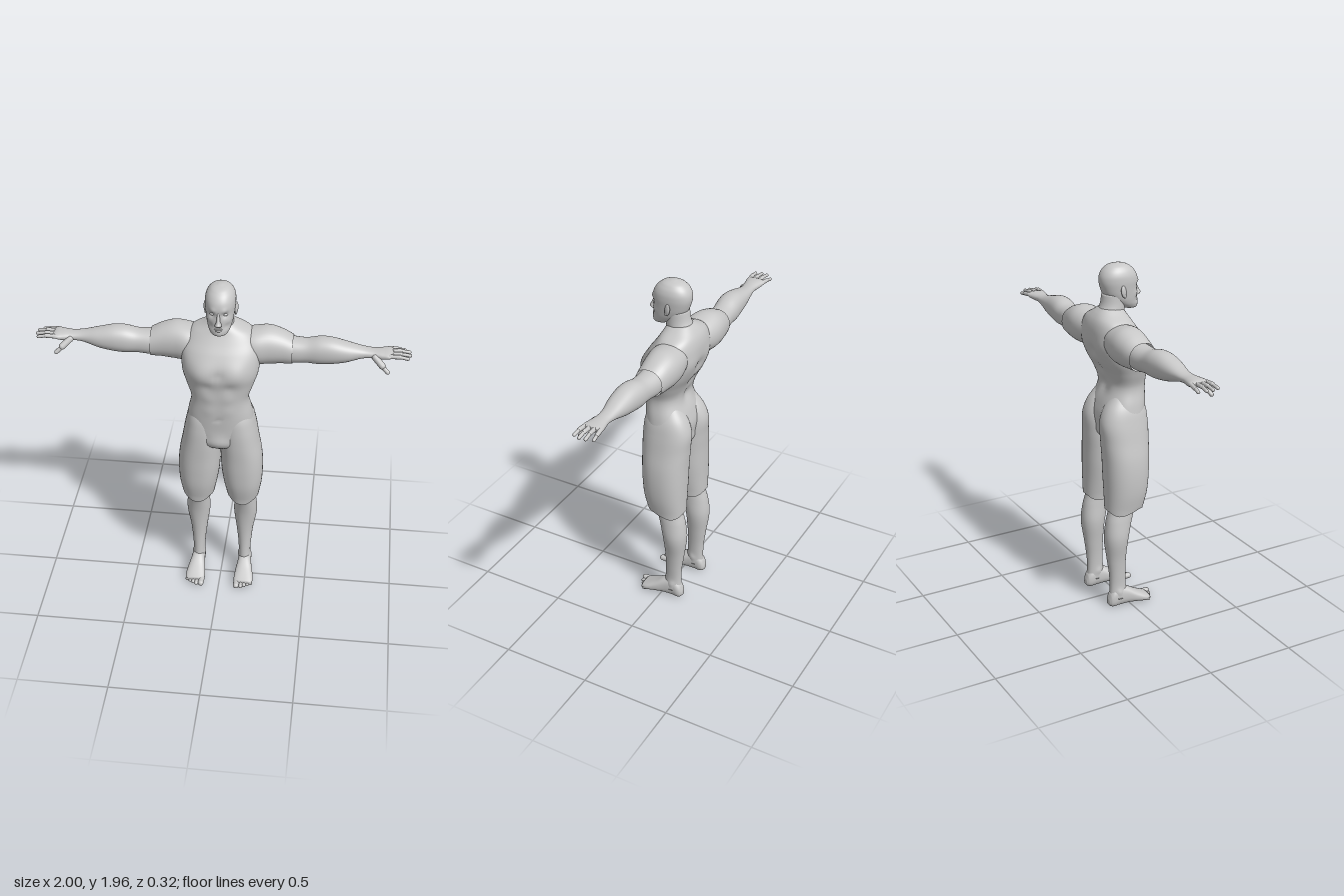
import * as THREE from 'three';

const grey = new THREE.MeshStandardMaterial({ color: 0xc8c8c8, side: THREE.DoubleSide });
grey.name = 'plain grey';

// Smooth closed loft. Sections are [t, uMin, uMax, vMin, vMax]; (t,u,v) = (y,x,z), (x,z,y) or (z,y,x).
// Bumps are [x, y, z, radius, height] and push the skin away from the section centre.
function loft(axis, sections, { n = 2.2, seg = 40, steps = 6, bumps = [], side = 1, open = false, hem = 0 } = {}) {
  const curve = new THREE.CubicInterpolant(sections.map(s => s[0]), sections.flatMap(s => s.slice(1)), 4);
  const place = { y: (t, u, v) => [u, t, v], x: (t, u, v) => [t, v, u], z: (t, u, v) => [v, u, t] }[axis];
  const ts = [];
  for (let i = 0; i < sections.length - 1; i++)
    for (let k = 0; k < steps; k++) ts.push(THREE.MathUtils.lerp(sections[i][0], sections[i + 1][0], k / steps));
  ts.push(sections.at(-1)[0]);
  const pow = c => Math.sign(c) * Math.abs(c) ** (2 / n);
  const pos = [], idx = [];
  const put = (t, u, v) => { const p = place(t, u, v); pos.push(p[0] * side, p[1], p[2]); };
  const centres = ts.map((t, i) => {
    const [u0, u1, v0, v1] = Array.from(curve.evaluate(t));
    const cu = (u0 + u1) / 2, cv = (v0 + v1) / 2;
    for (let j = 0; j < seg; j++) {
      const a = j / seg * Math.PI * 2;
      const du = pow(Math.cos(a)) * (u1 - u0) / 2, dv = pow(Math.sin(a)) * (v1 - v0) / 2;
      const p = place(t, cu + du, cv + dv);
      let push = 0;
      for (const [x, y, z, r, h] of bumps) {
        const dx = x ? Math.abs(p[0]) - x : p[0];
        push += h * Math.exp(-(dx * dx + (p[1] - y) ** 2 + (p[2] - z) ** 2) / (r * r));
      }
      const k = 1 + push / (Math.hypot(du, dv) || 1);
      put(t + (i === 0 ? hem * Math.sin(3 * a) : 0), cu + du * k, cv + dv * k);
    }
    return [t, cu, cv];
  });
  const tri = (a, b, c) => side > 0 ? idx.push(a, b, c) : idx.push(a, c, b);
  for (let i = 0; i < ts.length - 1; i++)
    for (let j = 0; j < seg; j++) {
      const a = i * seg + j, b = i * seg + (j + 1) % seg;
      tri(a, a + seg, b); tri(b, a + seg, b + seg);
    }
  if (!open) {
    const end = ts.length * seg, last = end - seg;
    put(...centres[0]); put(...centres.at(-1));
    for (let j = 0; j < seg; j++) {
      const m = (j + 1) % seg;
      tri(end, j, m); tri(end + 1, last + m, last + j);
    }
  }
  const g = new THREE.BufferGeometry();
  g.setAttribute('position', new THREE.Float32BufferAttribute(pos, 3));
  g.setIndex(idx);
  g.computeVertexNormals();
  return g;
}

// Sections symmetric about x = 0: [y, halfWidth, zBack, zFront]
const even = rows => rows.map(([y, w, b, f]) => [y, -w, w, b, f]);

export function createModel() {
  const model = new THREE.Group();
  model.name = 'figure';
  const add = (name, geo, parent = model) => {
    const m = new THREE.Mesh(geo, grey);
    m.name = name;
    parent.add(m);
    return m;
  };
  const capsule = (name, a, b, r, parent) => {
    const A = new THREE.Vector3(...a), d = new THREE.Vector3(...b).sub(A);
    const m = add(name, new THREE.CapsuleGeometry(r, d.length(), 6, 12), parent);
    m.position.copy(A).addScaledVector(d, 0.5);
    m.quaternion.setFromUnitVectors(new THREE.Vector3(0, 1, 0), d.normalize());
  };
  const ball = (name, p, s, parent) => {
    const m = add(name, new THREE.SphereGeometry(1, 20, 14), parent);
    m.position.set(...p);
    m.scale.set(...s);
    return m;
  };

  // Torso with chest, back and belly relief
  const torso = loft('y', even([
    [0.965, 0.05, -0.05, 0.08], [1.0, 0.14, -0.10, 0.115], [1.07, 0.178, -0.115, 0.125], [1.13, 0.182, -0.12, 0.13],
    [1.2, 0.173, -0.105, 0.135], [1.3, 0.155, -0.075, 0.138], [1.38, 0.18, -0.10, 0.142], [1.45, 0.203, -0.135, 0.15],
    [1.52, 0.21, -0.155, 0.14], [1.58, 0.21, -0.16, 0.11], [1.63, 0.19, -0.157, 0.075], [1.67, 0.155, -0.145, 0.05],
    [1.70, 0.1, -0.125, 0.035], [1.725, 0.06, -0.10, 0.02],
  ]), {
    n: 2.4, seg: 72,
    bumps: [
      [0.085, 1.48, 0.14, 0.06, 0.014], [0, 1.48, 0.15, 0.025, -0.007], [0.06, 1.405, 0.14, 0.03, -0.006],
      [0.05, 1.33, 0.13, 0.035, 0.005], [0.05, 1.25, 0.13, 0.035, 0.004], [0, 1.19, 0.135, 0.012, -0.007],
      [0, 1.035, 0.115, 0.045, 0.014], [0.1, 1.53, -0.15, 0.06, 0.008], [0, 1.5, -0.15, 0.035, -0.012],
      [0, 1.4, -0.11, 0.035, -0.012], [0, 1.3, -0.08, 0.035, -0.01], [0.06, 1.3, -0.08, 0.04, 0.006],
    ],
  });
  // Separate the open neckline from the shirt
  const p = torso.attributes.position, ids = torso.index.array, shirt = [], neckline = [];
  for (let i = 0; i < ids.length; i += 3) {
    const f = [ids[i], ids[i + 1], ids[i + 2]];
    const x = f.reduce((s, k) => s + Math.abs(p.getX(k)), 0) / 3, y = f.reduce((s, k) => s + p.getY(k), 0) / 3;
    (y > 1.53 && x < 0.122 + 0.014 * Math.sin(y * 80) ? neckline : shirt).push(...f);
  }
  for (const [name, list] of [['shirtBody', shirt], ['necklineSkin', neckline]]) {
    const g = torso.clone();
    g.setIndex(list);
    add(name, g);
  }

  add('neck', loft('y', even([
    [1.58, 0.10, -0.14, 0.06], [1.65, 0.088, -0.132, 0.048], [1.69, 0.073, -0.117, 0.04],
    [1.74, 0.064, -0.093, 0.045], [1.80, 0.062, -0.082, 0.05],
  ]), { n: 2, bumps: [[0.03, 1.68, 0.035, 0.02, 0.005], [0, 1.655, 0.045, 0.015, -0.006]] }));

  // Head
  const head = new THREE.Group();
  head.name = 'head';
  model.add(head);
  add('skull', loft('y', even([
    [1.705, 0.02, 0.07, 0.106], [1.712, 0.038, 0.04, 0.116], [1.73, 0.054, 0.0, 0.12], [1.76, 0.066, -0.045, 0.118],
    [1.79, 0.072, -0.073, 0.118], [1.83, 0.077, -0.09, 0.118], [1.87, 0.08, -0.098, 0.118], [1.905, 0.076, -0.092, 0.106],
    [1.935, 0.06, -0.07, 0.08], [1.952, 0.038, -0.042, 0.05], [1.96, 0.01, -0.008, 0.016],
  ]), {
    n: 2.15, seg: 80, bumps: [
      [0.034, 1.832, 0.108, 0.017, -0.012], [0.03, 1.856, 0.112, 0.015, 0.005], [0.05, 1.795, 0.085, 0.02, 0.004],
      [0, 1.728, 0.118, 0.018, 0.004], [0.04, 1.765, 0.1, 0.018, -0.004],
    ],
  }), head);
  add('nose', loft('y', even([
    [1.768, 0.005, 0.1, 0.122], [1.773, 0.016, 0.1, 0.135], [1.782, 0.017, 0.1, 0.146], [1.797, 0.011, 0.1, 0.139],
    [1.825, 0.008, 0.1, 0.126], [1.85, 0.007, 0.1, 0.118],
  ]), { n: 2, seg: 24 }), head);
  ball('upperLip', [0, 1.752, 0.115], [0.023, 0.005, 0.009], head);
  ball('lowerLip', [0, 1.743, 0.115], [0.019, 0.006, 0.01], head);
  for (const s of [1, -1]) {
    ball('eye', [s * 0.033, 1.831, 0.092], [0.014, 0.009, 0.012], head);
    ball('ear', [s * 0.08, 1.82, 0.0], [0.009, 0.033, 0.018], head).rotation.set(-0.15, s * -0.35, 0);
    ball('earLobe', [s * 0.079, 1.795, 0.008], [0.006, 0.012, 0.009], head);
  }

  for (const side of [1, -1]) {
    const word = side > 0 ? 'left' : 'right';
    const limb = part => {
      const g = new THREE.Group();
      g.name = word + part;
      model.add(g);
      return g;
    };
    const at = (x, y, z) => [x * side, y, z];

    // Arm: sleeve over a bare forearm that runs into the palm
    const arm = limb('Arm');
    add('sleeve', loft('x', [
      [0.10, -0.14, 0.04, 1.50, 1.655], [0.18, -0.157, 0.05, 1.472, 1.672], [0.25, -0.16, 0.037, 1.47, 1.677],
      [0.32, -0.15, 0.026, 1.475, 1.658], [0.378, -0.135, 0.02, 1.477, 1.63],
    ], { side, open: true }), arm);
    add('forearm', loft('x', [
      [0.30, -0.13, 0.01, 1.49, 1.63], [0.38, -0.128, 0.013, 1.484, 1.622], [0.45, -0.118, 0.012, 1.49, 1.622],
      [0.52, -0.118, 0.02, 1.488, 1.638], [0.58, -0.113, 0.022, 1.495, 1.638], [0.66, -0.103, 0.015, 1.512, 1.62],
      [0.75, -0.088, -0.005, 1.54, 1.597], [0.80, -0.083, -0.005, 1.545, 1.592], [0.85, -0.092, 0.005, 1.546, 1.593],
      [0.89, -0.10, 0.01, 1.557, 1.59], [0.905, -0.092, 0.002, 1.563, 1.583],
    ], { side }), arm);
    [[-0.089, -0.098, 0.965], [-0.06, -0.066, 0.988], [-0.031, -0.032, 0.992], [-0.003, 0.002, 0.98]].forEach(([z0, z1, tip], i) => {
      const mid = (0.885 + tip) / 2 + 0.005, zm = (z0 + z1) / 2, drop = i === 0 ? 0.008 : 0;
      capsule('fingerBase', at(0.885, 1.575, z0), at(mid, 1.578 - drop, zm), 0.0115, arm);
      capsule('fingerTip', at(mid, 1.578 - drop, zm), at(tip, 1.571 - drop, z1), 0.0092, arm);
    });
    capsule('thumbBase', at(0.81, 1.562, -0.01), at(0.85, 1.53, 0.02), 0.018, arm);
    capsule('thumbTip', at(0.85, 1.528, 0.022), at(0.88, 1.501, 0.034), 0.0115, arm);

    // Leg: loose shorts over a bare shin
    const leg = limb('Leg');
    add('shortsLeg', loft('y', [
      [0.592, 0.04, 0.213, -0.133, 0.08], [0.7, 0.019, 0.231, -0.134, 0.106], [0.8, 0.005, 0.236, -0.136, 0.116],
      [0.9, 0.0, 0.23, -0.138, 0.121], [1.0, -0.002, 0.212, -0.143, 0.126], [1.1, 0.002, 0.194, -0.145, 0.126],
      [1.18, 0.01, 0.174, -0.12, 0.115], [1.25, 0.03, 0.14, -0.07, 0.08],
    ], { side, open: true, hem: 0.012, n: 2.3, bumps: [[0.09, 1.11, -0.13, 0.06, 0.004]] }), leg);
    add('shin', loft('y', [
      [0.05, 0.10, 0.175, -0.118, -0.01], [0.12, 0.101, 0.168, -0.115, -0.018], [0.2, 0.097, 0.172, -0.119, -0.022],
      [0.3, 0.086, 0.182, -0.132, -0.02], [0.43, 0.07, 0.203, -0.147, -0.008], [0.53, 0.074, 0.196, -0.136, 0.014],
      [0.6, 0.076, 0.188, -0.12, 0.03], [0.72, 0.075, 0.19, -0.12, 0.04],
    ], { side, n: 2.1, bumps: [[0.13, 0.56, 0.02, 0.03, 0.006], [0.1, 0.1, -0.06, 0.018, 0.006], [0.168, 0.09, -0.07, 0.018, 0.007]] }), leg);
    add('foot', loft('z', [
      [-0.13, 0.015, 0.045, 0.12, 0.152], [-0.118, 0.003, 0.08, 0.107, 0.167], [-0.07, 0.0, 0.118, 0.101, 0.173],
      [-0.02, 0.002, 0.108, 0.097, 0.179], [0.04, 0.002, 0.073, 0.089, 0.192], [0.09, 0.0, 0.047, 0.086, 0.198],
      [0.118, 0.004, 0.034, 0.092, 0.19],
    ], { side, n: 2.4 }), leg);
    capsule('bigToe', at(0.103, 0.018, 0.1), at(0.104, 0.017, 0.139), 0.017, leg);
    for (let i = 0; i < 4; i++) {
      const x = 0.129 + i * 0.019;
      capsule('smallToe', at(x, 0.018, 0.085), at(x + 0.002, 0.012, 0.138 - i * 0.011), 0.0115 - i * 0.0005, leg);
    }
  }
  return model;
}
